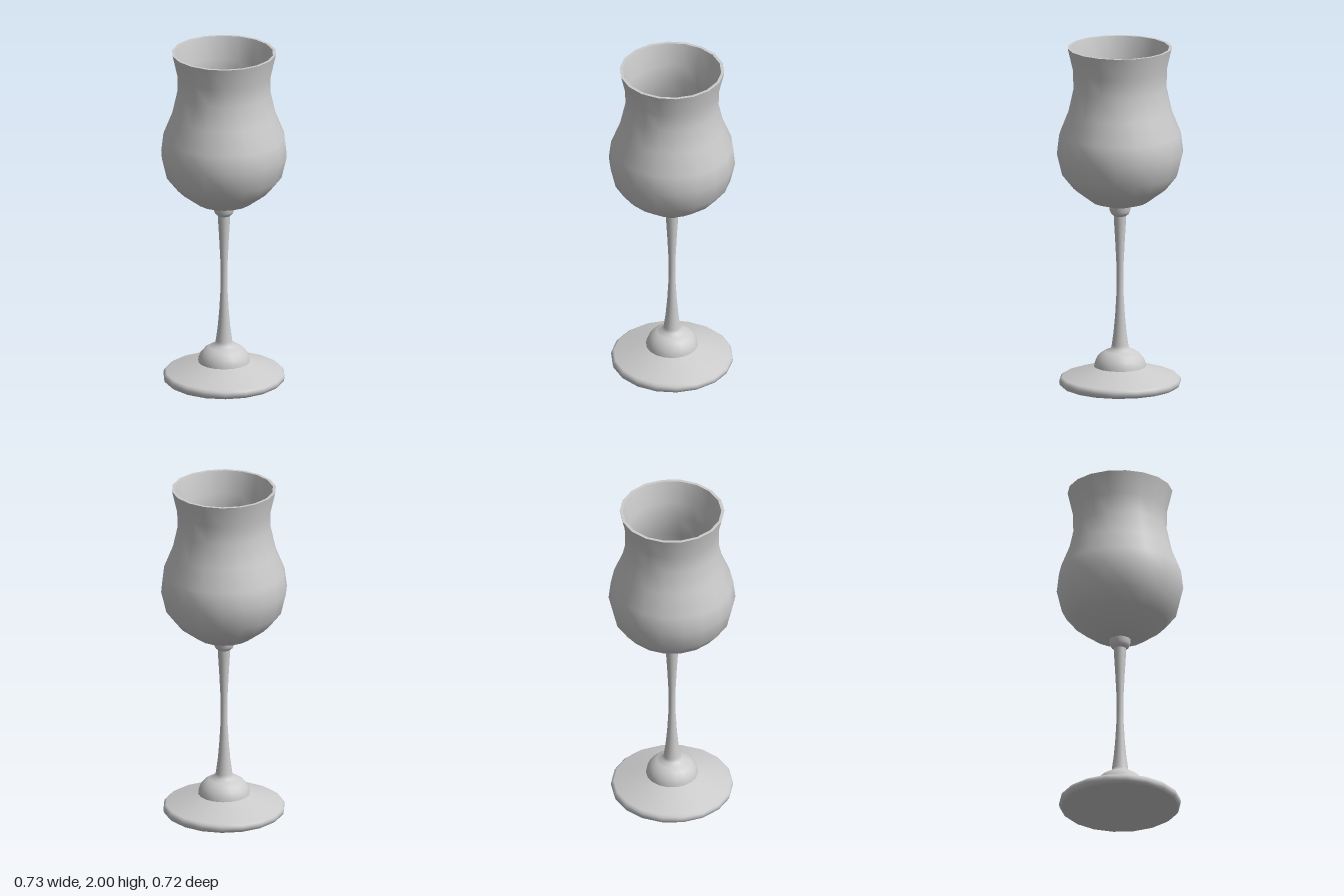
import * as THREE from 'three';

const SIDES = 18;

export function createModel() {
  const group = new THREE.Group();
  const material = new THREE.MeshStandardMaterial({ color: 0xcccccc });

  // Turned section from [radius, height] pairs; separate sections keep hard edges between them
  function turned(name, profile) {
    const points = profile.map(([r, y]) => new THREE.Vector2(r, y));
    const geometry = new THREE.LatheGeometry(points, SIDES).rotateY(Math.PI / 2);
    const mesh = new THREE.Mesh(geometry, material);
    mesh.name = name;
    group.add(mesh);
  }

  // Foot: flat underside, rounded edge and shallow cone
  turned('footUnderside', [[0, 0], [0.335, 0]]);
  turned('footTop', [
    [0.335, 0], [0.348, 0.01], [0.352, 0.027], [0.349, 0.043], [0.335, 0.055], [0.15, 0.115],
  ]);

  // Dome sweeping up into the slender stem
  turned('domeAndStem', [
    [0.15, 0.115], [0.147, 0.135], [0.136, 0.162], [0.115, 0.187], [0.088, 0.205], [0.055, 0.217],
    [0.048, 0.24], [0.037, 0.32], [0.028, 0.42], [0.021, 0.54], [0.019, 0.62], [0.021, 0.72],
    [0.028, 0.86], [0.034, 0.96], [0.036, 1.01],
  ]);

  // Small collar under the bowl
  turned('collar', [[0.036, 1.005], [0.05, 1.016], [0.059, 1.034], [0.062, 1.065]]);

  // Bowl: outer wall, rim and inner wall
  turned('bowlOuter', [
    [0, 1.058], [0.062, 1.061], [0.16, 1.09], [0.27, 1.172], [0.335, 1.253], [0.365, 1.38],
    [0.352, 1.49], [0.3, 1.62], [0.269, 1.76], [0.272, 1.87], [0.302, 2],
  ]);
  turned('rim', [[0.302, 2], [0.284, 2]]);
  turned('bowlInner', [
    [0.284, 2], [0.254, 1.87], [0.251, 1.76], [0.282, 1.615], [0.334, 1.485], [0.347, 1.38],
    [0.318, 1.262], [0.257, 1.186], [0.153, 1.108], [0.06, 1.08], [0, 1.077],
  ]);

  return group;
}
